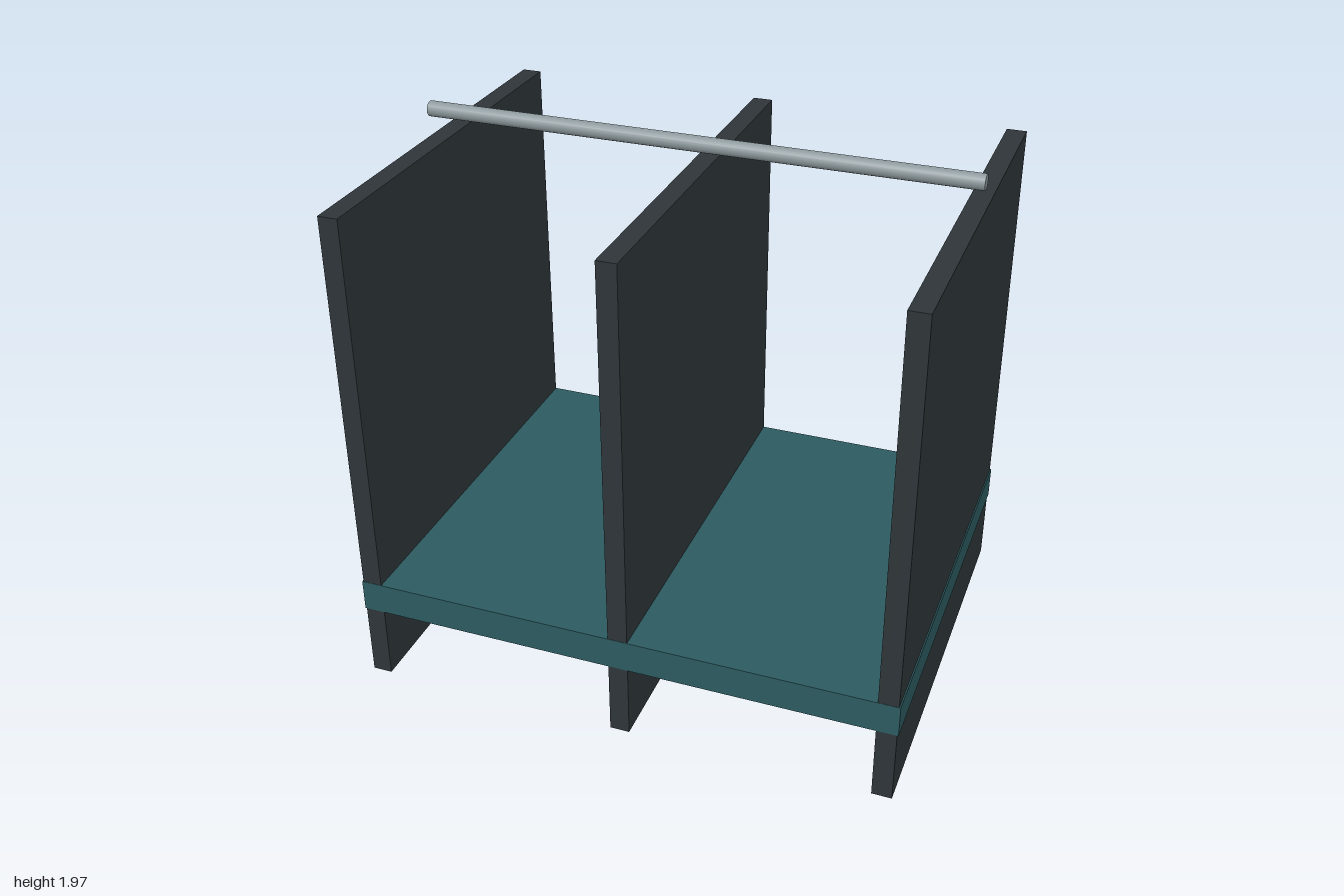
import * as THREE from 'three';

export function createModel() {
  const model = new THREE.Group();
  const panelMat = new THREE.MeshStandardMaterial({ color: 0x2e3538 });
  const shelfMat = new THREE.MeshStandardMaterial({ color: 0x2b5a60 });
  const rodMat = new THREE.MeshStandardMaterial({ color: 0x8c989c });

  const add = (name, geometry, material, x, y) => {
    const mesh = new THREE.Mesh(geometry, material);
    mesh.name = name;
    mesh.position.set(x, y, 0);
    model.add(mesh);
    return mesh;
  };

  // Three upright panels
  const panel = new THREE.BoxGeometry(0.072, 1.84, 1.53);
  add('rightPanel', panel, panelMat, -0.959, 0.92);
  add('middlePanel', panel, panelMat, 0, 0.92);
  add('leftPanel', panel, panelMat, 0.959, 0.92);

  // Shelf running through the panels, a hair proud of their faces
  add('shelf', new THREE.BoxGeometry(2, 0.12, 1.532), shelfMat, 0, 0.34);

  // Rod above the panels
  const rod = new THREE.CylinderGeometry(0.028, 0.028, 1.98, 20);
  add('rod', rod.rotateZ(Math.PI / 2), rodMat, 0, 1.94);

  return model;
}
